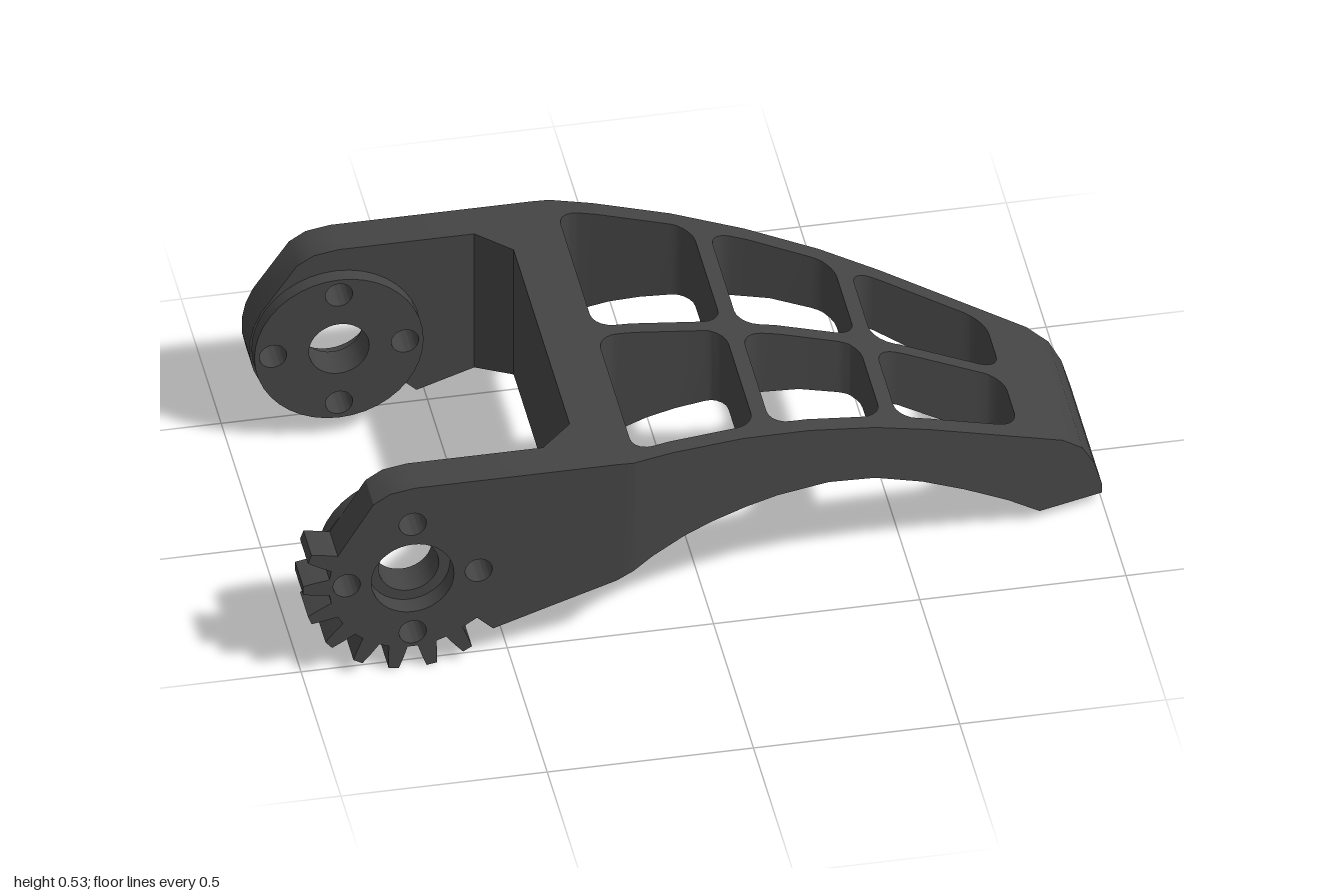
import * as THREE from 'three';
import { toCreasedNormals } from 'three/addons/utils/BufferGeometryUtils.js';

const material = new THREE.MeshStandardMaterial({ color: 0x444444 });
const HUB = [-0.735, 0.268];

// Side profile of the curved arm
const TOP = [[-0.4, 0.535], [-0.24, 0.535], [-0.1, 0.53], [0.08, 0.51], [0.25, 0.475], [0.42, 0.425], [0.56, 0.37],
  [0.73, 0.295], [0.9, 0.22], [0.95, 0.18], [0.98, 0.125], [1, 0.055]];
const BOTTOM = [[-0.4, 0.137], [-0.24, 0.19], [-0.15, 0.24], [-0.07, 0.272], [0, 0.29], [0.09, 0.304], [0.17, 0.31],
  [0.3, 0.304], [0.42, 0.275], [0.54, 0.222], [0.65, 0.16], [0.76, 0.09], [0.84, 0.03], [1, 0.03]];
// Window columns between the cross ribs
const WINDOWS = [[-0.19, 0.12], [0.16, 0.445], [0.485, 0.795]];
const CORNER = 0.05;

function sample(points, x) {
  for (let i = 1; i < points.length; i++) {
    const [x0, y0] = points[i - 1], [x1, y1] = points[i];
    if (x <= x1) return y0 + (y1 - y0) * (x - x0) / (x1 - x0);
  }
  return points[points.length - 1][1];
}
const halfWidth = x => x < -0.2 ? 0.53 : 0.53 - (x + 0.2) * 0.275;

// z range of a rounded window at x
function windowRange([a, b], x) {
  const d = Math.max(0, Math.min(x - a, b - x));
  const inset = d < CORNER ? CORNER - Math.sqrt(CORNER ** 2 - (CORNER - d) ** 2) : 0;
  return [0.018 + inset, halfWidth(x) - 0.045 - inset];
}

// Windowed body: slabs between stations along x
function bodyGeometry() {
  const pos = [];
  const quad = (a, b, c, d) => pos.push(...a, ...b, ...c, ...a, ...c, ...d);
  const top = (x, z) => [x, sample(TOP, x), z];
  const bot = (x, z) => [x, sample(BOTTOM, x), z];
  const slab = (x0, x1, [a0, b0], [a1, b1]) => {
    quad(top(x0, b0), top(x1, b1), top(x1, a1), top(x0, a0));
    quad(bot(x0, a0), bot(x1, a1), bot(x1, b1), bot(x0, b0));
    quad(bot(x0, b0), bot(x1, b1), top(x1, b1), top(x0, b0));
    quad(top(x0, a0), top(x1, a1), bot(x1, a1), bot(x0, a0));
  };
  const wall = (x, z0, z1, dir) => dir > 0
    ? quad(bot(x, z0), top(x, z0), top(x, z1), bot(x, z1))
    : quad(bot(x, z1), top(x, z1), top(x, z0), bot(x, z0));
  const mirrored = (x0, x1, r0, r1) => {
    slab(x0, x1, r0, r1);
    slab(x0, x1, [-r0[1], -r0[0]], [-r1[1], -r1[0]]);
  };

  const xs = [...TOP, ...BOTTOM].map(p => p[0]).concat(-0.32, -0.2);
  for (const [a, b] of WINDOWS) {
    for (let i = 0; i <= 5; i++) {
      const d = CORNER * (1 - Math.cos(i * Math.PI / 10));
      xs.push(a + d, b - d);
    }
  }
  xs.sort((p, q) => p - q);
  const stations = xs.filter((x, i) => i === 0 || x - xs[i - 1] > 1e-6);

  for (let i = 1; i < stations.length; i++) {
    const x0 = stations[i - 1], x1 = stations[i], mid = (x0 + x1) / 2;
    const h0 = halfWidth(x0), h1 = halfWidth(x1);
    const hole = WINDOWS.find(([a, b]) => mid > a && mid < b);
    if (mid < -0.32) {
      // Chamfered corners where the fork meets the crossbar
      const inner = x => 0.43 - (x + 0.4);
      mirrored(x0, x1, [inner(x0), h0], [inner(x1), h1]);
    } else if (hole) {
      const w0 = windowRange(hole, x0), w1 = windowRange(hole, x1);
      mirrored(x0, x1, [w0[1], h0], [w1[1], h1]);
      slab(x0, x1, [-w0[0], w0[0]], [-w1[0], w1[0]]);
    } else {
      slab(x0, x1, [-h0, h0], [-h1, h1]);
    }
  }
  // End walls of the crossbar, tip and windows
  wall(-0.32, -0.35, 0.35, -1);
  wall(1, -halfWidth(1), halfWidth(1), 1);
  for (const w of WINDOWS) {
    w.forEach((x, end) => {
      const [z0, z1] = windowRange(w, x);
      wall(x, z0, z1, end ? -1 : 1);
      wall(x, -z1, -z0, end ? -1 : 1);
    });
  }
  const geometry = new THREE.BufferGeometry();
  geometry.setAttribute('position', new THREE.Float32BufferAttribute(pos, 3));
  return toCreasedNormals(geometry, 0.55);
}

const polar = (r, deg) => {
  const t = THREE.MathUtils.degToRad(deg);
  return new THREE.Vector2(HUB[0] + r * Math.cos(t), HUB[1] + r * Math.sin(t));
};

function circlePath(Type, cx, cy, r) {
  const path = new Type();
  path.absarc(cx, cy, r, 0, Math.PI * 2, false);
  return path;
}

// Hub bore plus four screw holes
function addHoles(shape, bore) {
  shape.holes.push(circlePath(THREE.Path, ...HUB, bore));
  for (let i = 0; i < 4; i++) {
    const c = polar(0.16, i * 90);
    shape.holes.push(circlePath(THREE.Path, c.x, c.y, 0.033));
  }
  return shape;
}

// Outline of a fork arm, with or without gear teeth
function forkShape(geared) {
  const pts = [[-0.4, 0.535], [-0.73, 0.535], [-0.79, 0.525], [-0.83, 0.5]].map(p => new THREE.Vector2(...p));
  if (geared) {
    const tooth = [[-6.5, 0.203], [-4.5, 0.235], [-2.7, 0.266], [2.7, 0.266], [4.5, 0.235], [6.5, 0.203]];
    for (let t = 160; t <= 300; t += 20) for (const [a, r] of tooth) pts.push(polar(r, t + a));
    pts.push(polar(0.21, 318));
  } else {
    for (let t = 150; t <= 318; t += 12) pts.push(polar(0.21, t));
  }
  pts.push(new THREE.Vector2(-0.54, 0.09), new THREE.Vector2(-0.4, 0.137));
  return addHoles(new THREE.Shape(pts), 0.1);
}

function extrude(shape, z0, z1) {
  const g = new THREE.ExtrudeGeometry(shape, { depth: z1 - z0, bevelEnabled: false, curveSegments: 20 });
  g.translate(0, 0, z0);
  return toCreasedNormals(g, 0.45);
}

export function createModel() {
  const group = new THREE.Group();
  const add = (name, geometry) => {
    const mesh = new THREE.Mesh(geometry, material);
    mesh.name = name;
    group.add(mesh);
  };
  add('windowedBody', bodyGeometry());
  add('gearedForkArm', extrude(forkShape(true), 0.43, 0.53));
  add('plainForkArm', extrude(forkShape(false), -0.53, -0.43));

  // Inner bosses, and collars forming the step inside each bore
  const boss = addHoles(circlePath(THREE.Shape, ...HUB, 0.205), 0.073);
  const collar = circlePath(THREE.Shape, ...HUB, 0.1);
  collar.holes.push(circlePath(THREE.Path, ...HUB, 0.073));
  add('frontBoss', extrude(boss, 0.393, 0.43));
  add('backBoss', extrude(boss, -0.43, -0.393));
  add('frontBoreStep', extrude(collar, 0.43, 0.48));
  add('backBoreStep', extrude(collar, -0.48, -0.43));
  return group;
}
